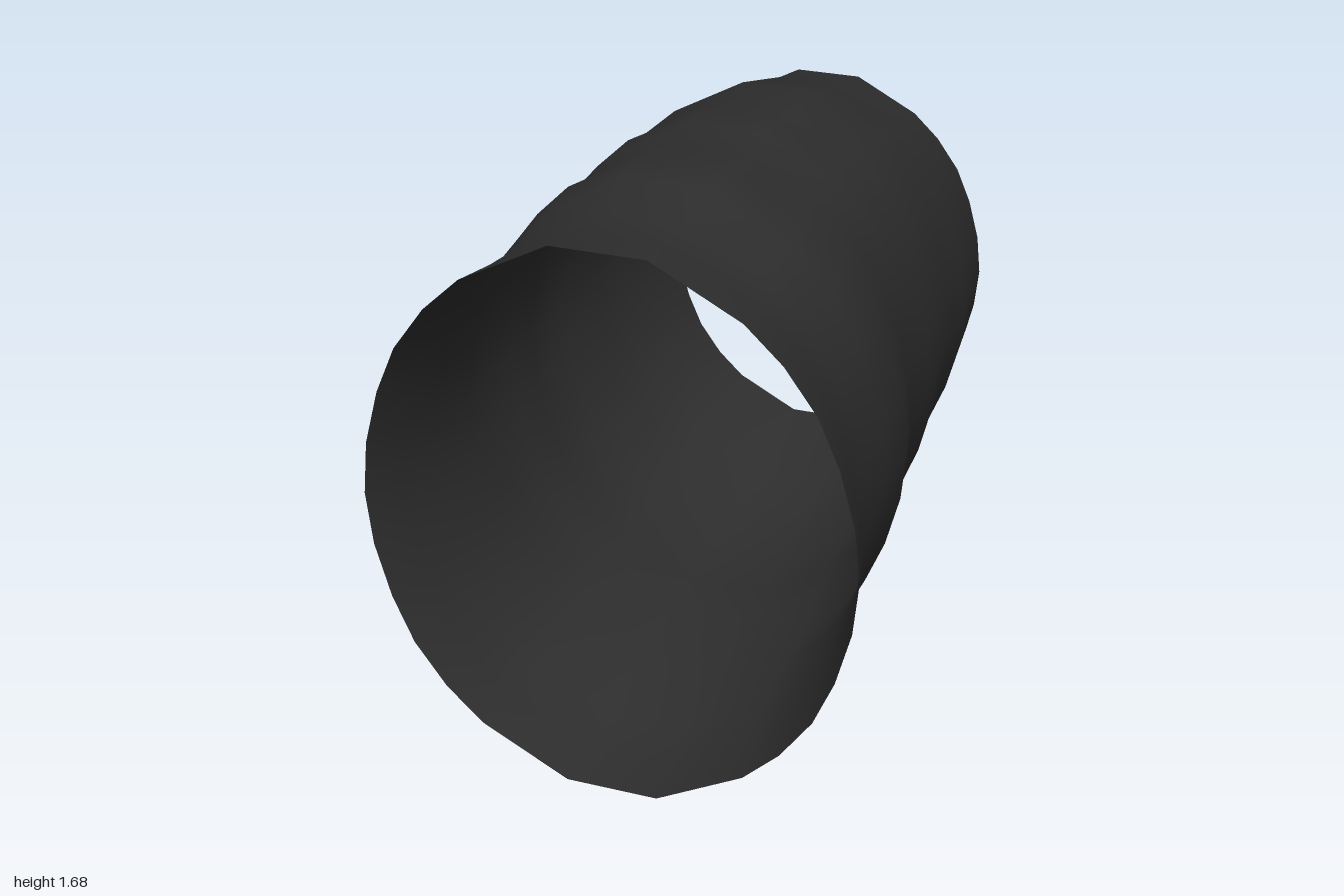
import * as THREE from 'three';

// Cross-sections along the sleeve: z, top, bottom, right edge (-x), left edge (+x)
const RINGS = [
  [1.00, 1.68, 0.00, -0.72, 0.715],
  [0.86, 1.665, 0.01, -0.67, 0.68],
  [0.69, 1.645, 0.02, -0.65, 0.65],
  [0.52, 1.68, 0.07, -0.63, 0.65],
  [0.34, 1.68, 0.07, -0.655, 0.66],
  [0.16, 1.64, 0.095, -0.645, 0.62],
  [0.00, 1.645, 0.08, -0.65, 0.60],
  [-0.13, 1.64, 0.08, -0.66, 0.595],
  [-0.25, 1.615, 0.083, -0.645, 0.595],
  [-0.48, 1.605, 0.10, -0.625, 0.57],
  [-0.65, 1.555, 0.14, -0.605, 0.575],
  [-0.82, 1.505, 0.175, -0.575, 0.56],
  [-1.00, 1.47, 0.20, -0.54, 0.54],
];

// Unit outline, one quarter from the flat top down to the side
const QUARTER = [[0.19, 1], [0.55, 0.837], [0.70, 0.715], [0.83, 0.56], [0.915, 0.39], [0.977, 0.193], [1, 0]];

// Mirror the quarter into a closed clockwise outline
function outline() {
  const half = [...QUARTER, ...QUARTER.slice(0, -1).reverse().map(([x, y]) => [x, -y])];
  return [...half, ...half.slice().reverse().map(([x, y]) => [-x, y])];
}

// Join the rings into an open tube with smooth normals and no seam
function loft() {
  const shape = outline();
  const n = shape.length;
  const positions = [];
  const indices = [];
  RINGS.forEach(([z, top, bottom, right, left], r) => {
    const cy = (top + bottom) / 2;
    const h = (top - bottom) / 2;
    for (const [x, y] of shape) positions.push(x * (x > 0 ? left : -right), cy + y * h, z);
    if (r === 0) return;
    for (let i = 0; i < n; i++) {
      const j = (i + 1) % n;
      const a = (r - 1) * n + i, b = (r - 1) * n + j;
      const c = r * n + i, d = r * n + j;
      indices.push(a, b, c, b, d, c);
    }
  });
  const geometry = new THREE.BufferGeometry();
  geometry.setAttribute('position', new THREE.Float32BufferAttribute(positions, 3));
  geometry.setIndex(indices);
  geometry.computeVertexNormals();
  // Face winding must point outward: the first vertex is on the top edge
  if (geometry.attributes.normal.getY(0) < 0) {
    for (let i = 0; i < indices.length; i += 3) [indices[i], indices[i + 1]] = [indices[i + 1], indices[i]];
    geometry.setIndex(indices);
    geometry.computeVertexNormals();
  }
  return geometry;
}

export function createModel() {
  const fabric = new THREE.MeshStandardMaterial({ color: 0x2e2e2e, side: THREE.DoubleSide });
  fabric.name = 'dark fabric';
  const sleeve = new THREE.Mesh(loft(), fabric);
  sleeve.name = 'sleeve';
  const model = new THREE.Group();
  model.name = 'openSleeve';
  model.add(sleeve);
  return model;
}
